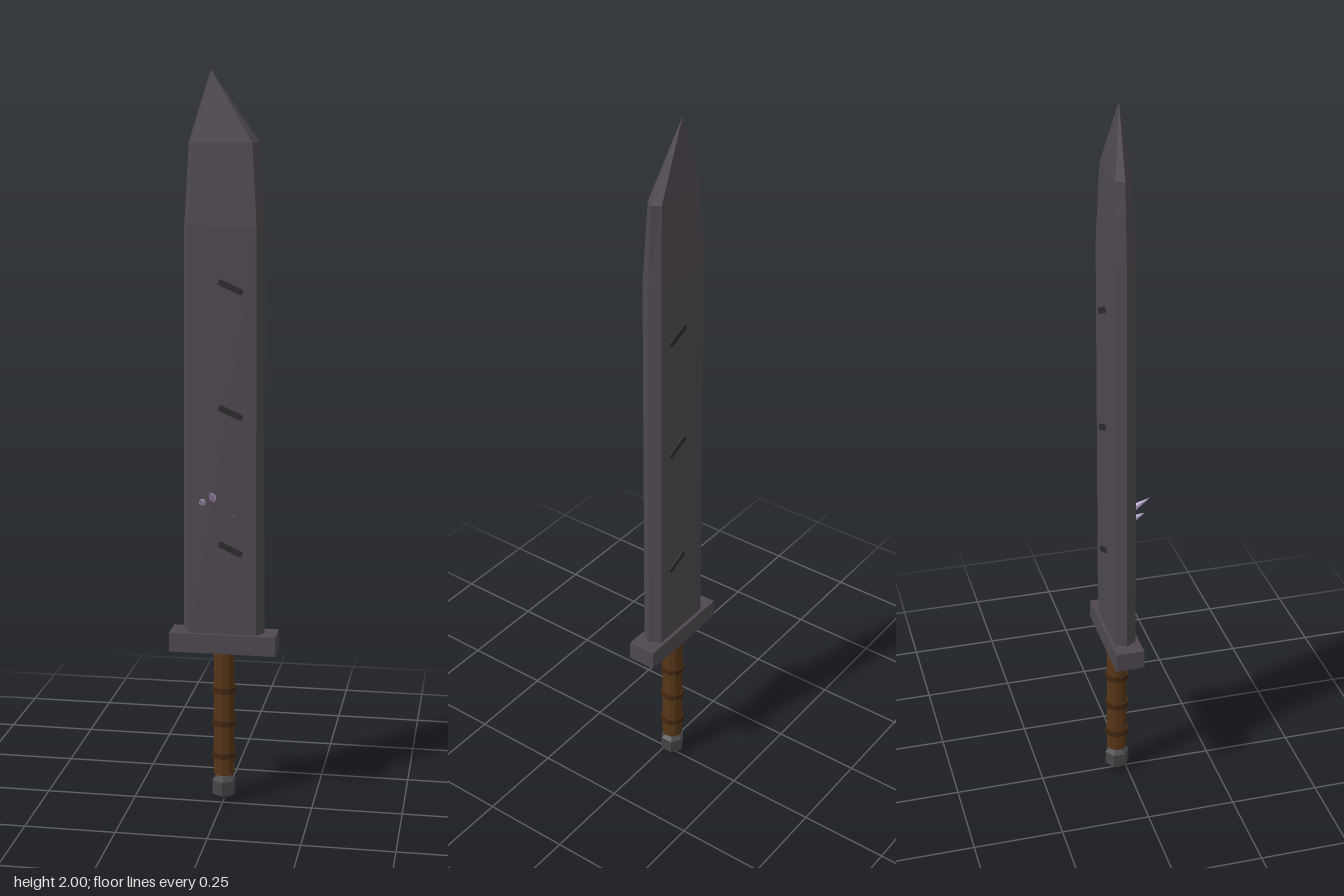
import * as THREE from 'three';

const MID_Z = -0.026; // plane of the blade

const mat = (name, color) => {
  const m = new THREE.MeshStandardMaterial({ color });
  m.name = name;
  m.flatShading = true;
  return m;
};

export function createModel() {
  const root = new THREE.Group();
  root.name = 'greatsword';
  const steel = mat('dark steel', 0x4e484f);
  const iron = mat('pommel iron', 0x454548);
  const notchMat = mat('notch black', 0x2d2a2e);
  const wood = mat('grip brown', 0x573617);
  const band = mat('band brown', 0x402610);
  const crystal = mat('pale violet crystal', 0xb8a4cc);

  const add = (name, geo, material, x, y, z = MID_Z) => {
    const mesh = new THREE.Mesh(geo, material);
    mesh.name = name;
    mesh.position.set(x, y, z);
    root.add(mesh);
    return mesh;
  };

  // Blade: hexagonal sections [y, half width, half flat, half depth] closing on an off-centre tip
  const sections = [
    [0.48, 0.112, 0.093, 0.03],
    [1.6, 0.107, 0.09, 0.029],
    [1.815, 0.094, 0.077, 0.021],
  ];
  const rings = sections.map(([y, w, f, d]) => [
    [w, y, 0], [f, y, -d], [-f, y, -d], [-w, y, 0], [-f, y, d], [f, y, d],
  ]);
  const tip = [-0.035, 2, 0];
  const pos = [];
  rings.forEach((ring, r) => {
    const next = rings[r + 1];
    for (let i = 0; i < 6; i++) {
      const j = (i + 1) % 6;
      if (next) pos.push(...ring[i], ...ring[j], ...next[j], ...ring[i], ...next[j], ...next[i]);
      else pos.push(...ring[i], ...ring[j], ...tip);
    }
  });
  const bladeGeo = new THREE.BufferGeometry();
  bladeGeo.setAttribute('position', new THREE.Float32BufferAttribute(pos, 3));
  bladeGeo.computeVertexNormals();
  add('blade', bladeGeo, steel, 0, 0);

  // Slanted dark notches showing on both faces
  for (const y of [1.44, 1.105, 0.73]) {
    add('notch', new THREE.BoxGeometry(0.07, 0.016, 0.065), notchMat, 0.022, y).rotation.z = -0.42;
  }

  // Guard, grip, binding bands and pommel
  add('guard', new THREE.BoxGeometry(0.294, 0.054, 0.08), steel, 0, 0.463);
  add('grip', new THREE.CylinderGeometry(0.029, 0.029, 0.36, 10), wood, 0, 0.258);
  for (const y of [0.325, 0.23, 0.135]) {
    add('gripBand', new THREE.CylinderGeometry(0.034, 0.034, 0.015, 10), band, 0, y);
  }
  add('pommel', new THREE.SphereGeometry(0.04, 6, 3), iron, 0, 0.04).rotation.y = Math.PI / 6;

  // Crystal spikes growing out of the front face
  const spike = (name, base, end, r) => {
    const from = new THREE.Vector3(...base);
    const dir = new THREE.Vector3(...end).sub(from);
    const len = dir.length();
    const profile = [[0, 0], [r * 0.7, 0], [r, len * 0.3], [0, len]].map((p) => new THREE.Vector2(...p));
    const mesh = add(name, new THREE.LatheGeometry(profile, 6), crystal, ...base);
    mesh.quaternion.setFromUnitVectors(new THREE.Vector3(0, 1, 0), dir.normalize());
  };
  spike('largeCrystal', [-0.025, 0.865, -0.004], [-0.025, 0.9, 0.062], 0.011);
  spike('smallCrystal', [-0.053, 0.853, -0.004], [-0.056, 0.873, 0.038], 0.01);
  spike('crystalChip', [-0.02, 1.2, -0.004], [-0.02, 1.206, 0.007], 0.004);
  spike('crystalChip', [0.03, 0.82, -0.004], [0.03, 0.826, 0.007], 0.004);
  return root;
}
